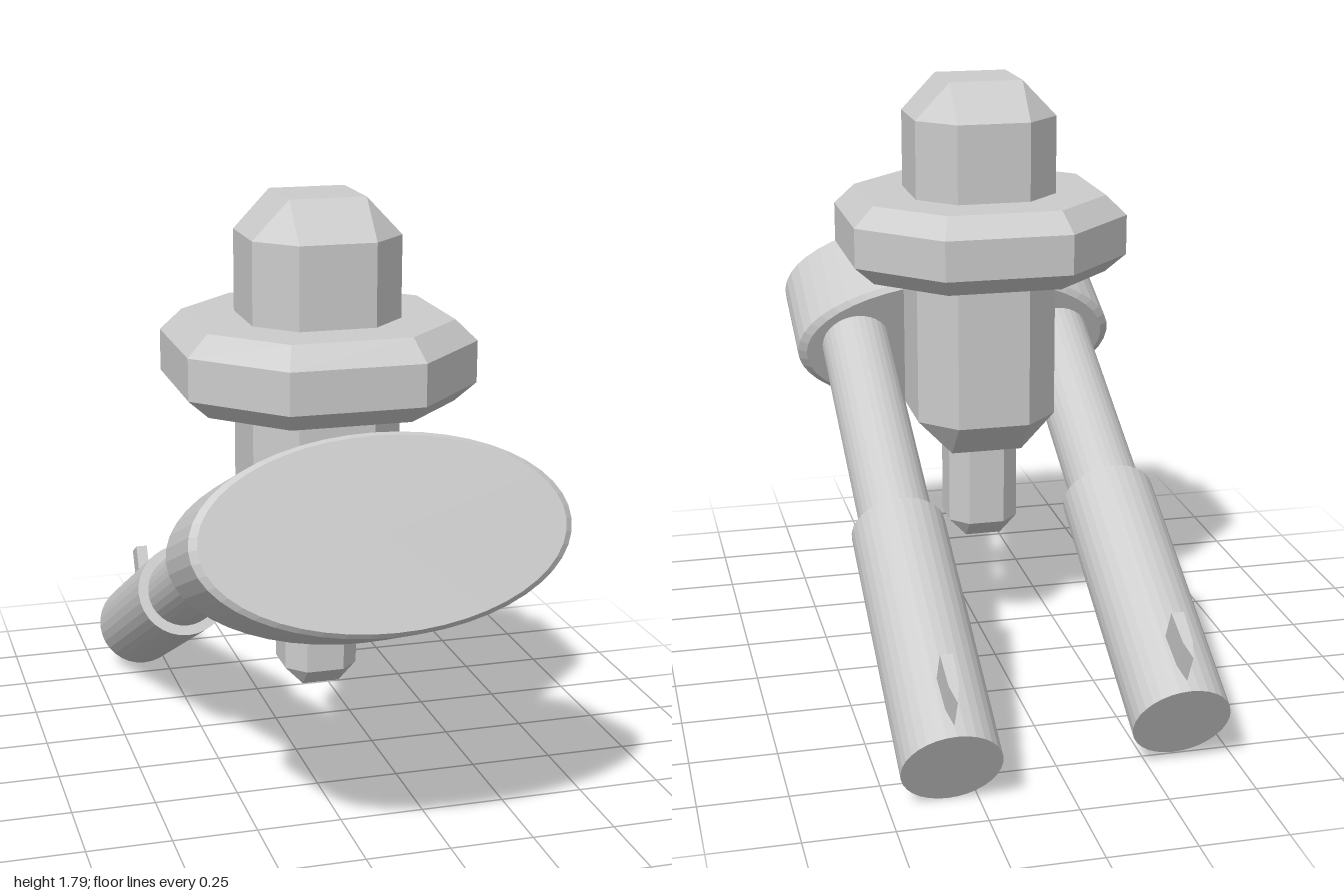
import * as THREE from 'three';

const material = new THREE.MeshStandardMaterial({ color: 0xcccccc, flatShading: true });

function addMesh(parent, name, geometry) {
  const mesh = new THREE.Mesh(geometry, material);
  mesh.name = name;
  parent.add(mesh);
  return mesh;
}

// Lofted corner-cut square; each row is [y, half width, half width of the flat].
function loftOctagon(rows) {
  const rings = rows.map(([y, h, f]) =>
    [[h, f], [f, h], [-f, h], [-h, f], [-h, -f], [-f, -h], [f, -h], [h, -f]]
      .map(([x, z]) => new THREE.Vector3(x, y, z)));
  const points = [];
  const tri = (a, b, c) => {
    if (!a.equals(b) && !b.equals(c) && !a.equals(c)) points.push(a, b, c);
  };
  const bottom = rings[0], top = rings[rings.length - 1];
  const low = new THREE.Vector3(0, bottom[0].y, 0);
  const high = new THREE.Vector3(0, top[0].y, 0);
  for (let i = 0; i < 8; i++) {
    const j = (i + 1) % 8;
    for (let r = 0; r < rings.length - 1; r++) {
      const a = rings[r][i], b = rings[r][j], c = rings[r + 1][j], d = rings[r + 1][i];
      tri(a, d, b);
      tri(b, d, c);
    }
    tri(low, bottom[i], bottom[j]);
    tri(high, top[j], top[i]);
  }
  const geometry = new THREE.BufferGeometry().setFromPoints(points);
  geometry.computeVertexNormals();
  return geometry;
}

// Sloping arm: thin tube, thicker sleeve and a small fin; local +y runs to the front.
function createArm(name, x, y, z) {
  const arm = new THREE.Group();
  arm.name = name;
  arm.position.set(x, y, z);
  arm.rotation.x = 1.094;

  addMesh(arm, 'thinTube', new THREE.CylinderGeometry(0.11, 0.11, 0.92, 32)).position.y = 0.45;
  addMesh(arm, 'sleeve', new THREE.CylinderGeometry(0.14, 0.14, 0.85, 32)).position.y = -0.425;

  const outline = new THREE.Shape([[-0.018, -0.655], [-0.014, -0.76], [0, -0.815], [0.014, -0.76], [0.018, -0.655]]
    .map(([px, py]) => new THREE.Vector2(px, py)));
  const fin = new THREE.ExtrudeGeometry(outline, { depth: 0.14, bevelEnabled: false });
  addMesh(arm, 'fin', fin).position.z = -0.24;
  return arm;
}

export function createModel() {
  const model = new THREE.Group();
  model.name = 'model';

  // Upright core: column, collar and lower pin
  const core = new THREE.Group();
  core.name = 'core';
  core.position.z = 0.225;
  addMesh(core, 'column', loftOctagon([
    [0.64, 0.11, 0.11], [0.75, 0.215, 0.11], [1.68, 0.215, 0.11], [1.79, 0.11, 0.11]]));
  addMesh(core, 'collar', loftOctagon([
    [1.21, 0.355, 0.17], [1.265, 0.415, 0.19], [1.385, 0.415, 0.19], [1.445, 0.355, 0.17]]));
  addMesh(core, 'pin', loftOctagon([
    [0.345, 0.055, 0.055], [0.4, 0.108, 0.055], [0.7, 0.108, 0.055]]));
  model.add(core);

  // Tilted oval front disc with small bevels
  const profile = [[0, -0.175], [0.95, -0.175], [1, -0.16], [1, 0.16], [0.96, 0.175], [0, 0.175]]
    .map(([r, y]) => new THREE.Vector2(r, y));
  const disc = addMesh(model, 'frontDisc', new THREE.LatheGeometry(profile, 48));
  disc.scale.set(0.52, 1, 0.2675);
  disc.rotation.x = 1.157;
  disc.position.set(0, 0.935, 0.73);

  // Pair of arms, the right one set slightly further forward
  model.add(createArm('leftArm', 0.333, 0.514, -0.166));
  model.add(createArm('rightArm', -0.333, 0.534, -0.09));

  return model;
}
